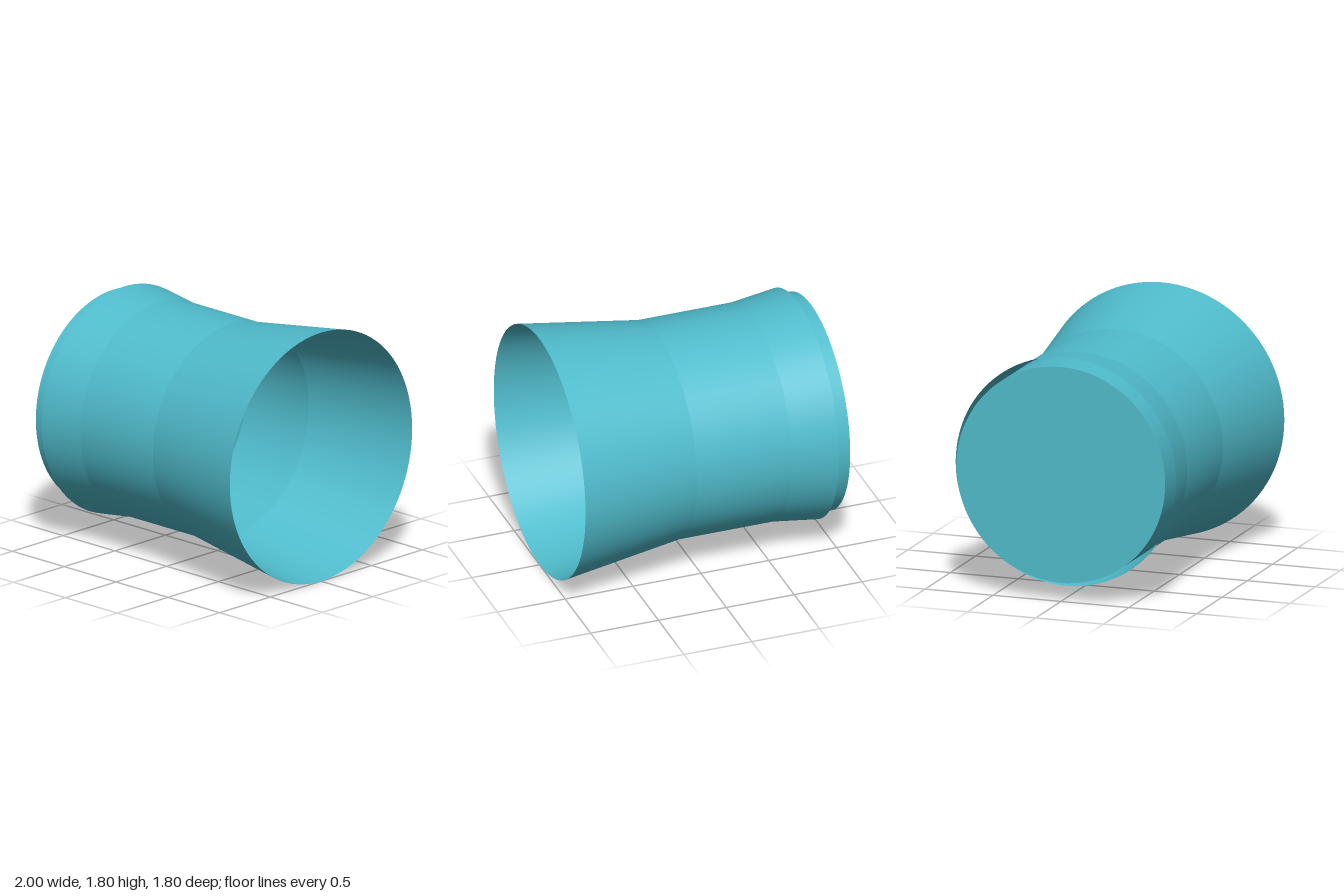
import * as THREE from 'three';

const SEGMENTS = 96;
const AXIS_HEIGHT = 0.9;

export function createModel() {
  const group = new THREE.Group();
  group.name = 'flaredSleeve';

  const teal = new THREE.MeshStandardMaterial({ color: 0x50bccc, side: THREE.DoubleSide });
  teal.name = 'teal';

  // A round section lying along x, from x0 (radius r0) to x1 (radius r1)
  function addSection(name, x0, r0, x1, r1, open) {
    const geometry = new THREE.CylinderGeometry(r1, r0, x1 - x0, SEGMENTS, 1, open);
    geometry.rotateZ(-Math.PI / 2);
    const mesh = new THREE.Mesh(geometry, teal);
    mesh.name = name;
    mesh.position.set((x0 + x1) / 2, AXIS_HEIGHT, 0);
    group.add(mesh);
  }

  // Thin open shell: rear flare, straight waist and wide mouth
  addSection('rearFlare', -0.9, 0.812, -0.57, 0.77, true);
  addSection('waist', -0.57, 0.77, 0.13, 0.77, true);
  addSection('mouthFlare', 0.13, 0.77, 1, 0.9, true);

  // Solid plug closing the rear end
  addSection('plug', -1, 0.768, -0.47, 0.768, false);

  return group;
}
